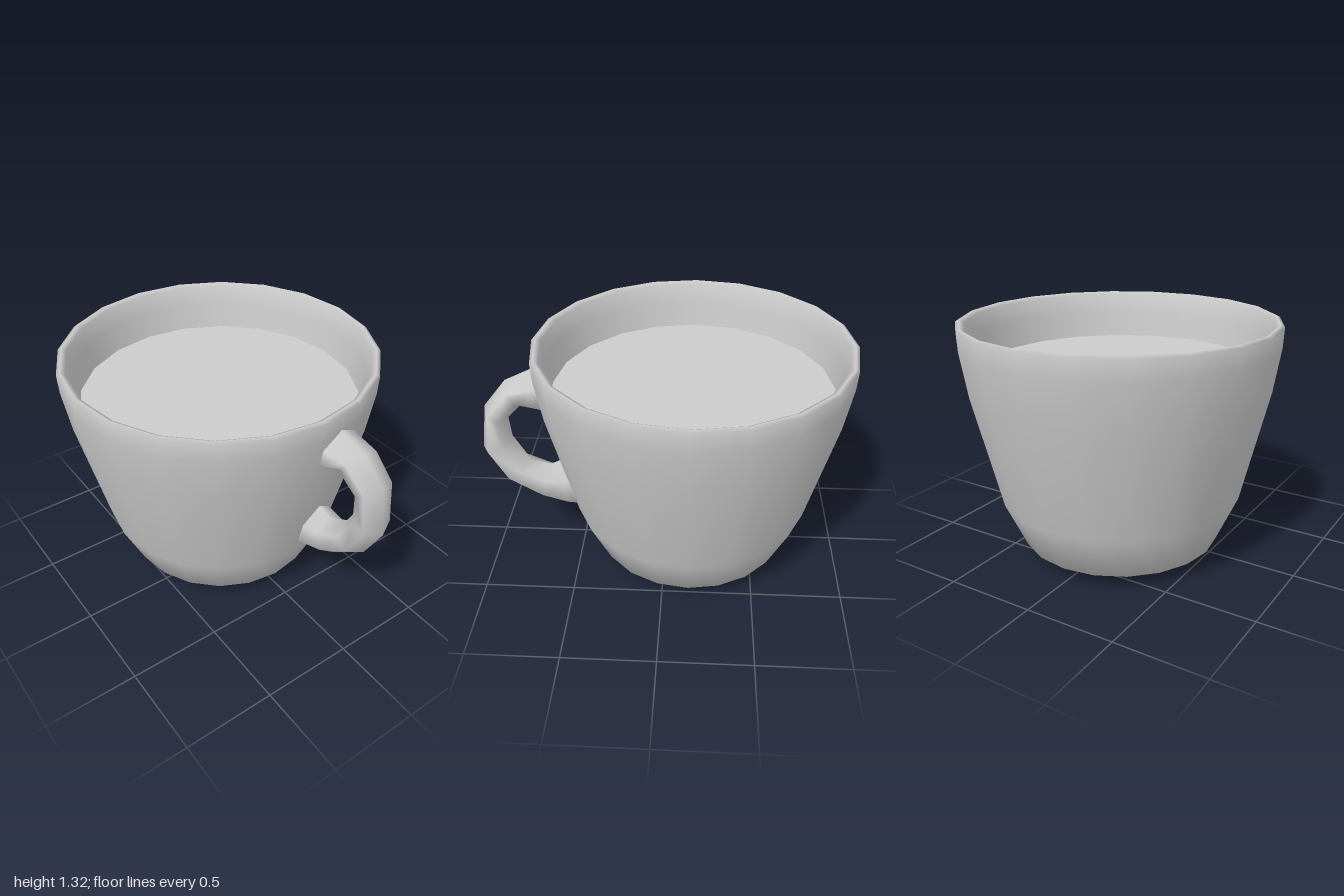
import * as THREE from 'three';

const SIDES = 20;
const CUP_X = -0.145;

// Tube skinned through [outerX, outerY, innerX, innerY, z, halfWidth] sections
function skinSections(sections) {
  const ring = [[1, 0], [0.45, 1], [-0.45, 1], [-1, 0], [-0.45, -1], [0.45, -1]];
  const n = ring.length;
  const positions = [];
  const index = [];
  sections.forEach(([ox, oy, ix, iy, z, w], i) => {
    ring.forEach(([u, v], j) => {
      positions.push(
        (ox + ix) / 2 + ((ox - ix) / 2) * u,
        (oy + iy) / 2 + ((oy - iy) / 2) * u,
        z + w * v
      );
      if (i === sections.length - 1) return;
      const a = i * n + j;
      const b = i * n + ((j + 1) % n);
      index.push(a, b, a + n, b, b + n, a + n);
    });
  });
  const geometry = new THREE.BufferGeometry();
  geometry.setAttribute('position', new THREE.Float32BufferAttribute(positions, 3));
  geometry.setIndex(index);
  geometry.computeVertexNormals();
  return geometry;
}

export function createModel() {
  const group = new THREE.Group();
  group.name = 'cup';
  const material = new THREE.MeshStandardMaterial({ color: 0xcccccc });
  const add = (name, geometry) => {
    const mesh = new THREE.Mesh(geometry, material);
    mesh.name = name;
    group.add(mesh);
    return mesh;
  };

  // Body: underside, outer wall, rounded rim, inner wall down past the drink
  const profile = [
    [0, 0], [0.29, 0], [0.55, 0.08], [0.668, 0.34], [0.815, 0.96], [0.853, 1.2],
    [0.858, 1.305], [0.838, 1.315], [0.812, 1.3], [0.79, 1.2], [0.765, 1.05], [0.75, 0.97],
  ].map(([r, y]) => new THREE.Vector2(r, y));
  add('body', new THREE.LatheGeometry(profile, SIDES)).position.x = CUP_X;

  // Flat surface of the drink
  const drink = new THREE.CircleGeometry(0.766, SIDES).rotateX(-Math.PI / 2);
  add('drinkSurface', drink).position.set(CUP_X, 1.05, 0);

  // Handle: flared where it grows out of the wall, both ends sunk into it
  add('handle', skinSections([
    [0.66, 1.22, 0.62, 0.95, -0.13, 0.12],
    [0.71, 1.2, 0.67, 0.97, -0.13, 0.115],
    [0.84, 1.145, 0.75, 1.02, -0.15, 0.1],
    [0.96, 1.0, 0.84, 0.93, -0.172, 0.095],
    [1.0, 0.74, 0.83, 0.8, -0.172, 0.092],
    [0.9, 0.55, 0.75, 0.65, -0.165, 0.092],
    [0.7, 0.4, 0.64, 0.61, -0.15, 0.092],
    [0.53, 0.34, 0.58, 0.64, -0.145, 0.105],
    [0.47, 0.33, 0.53, 0.65, -0.14, 0.11],
  ]));

  return group;
}
